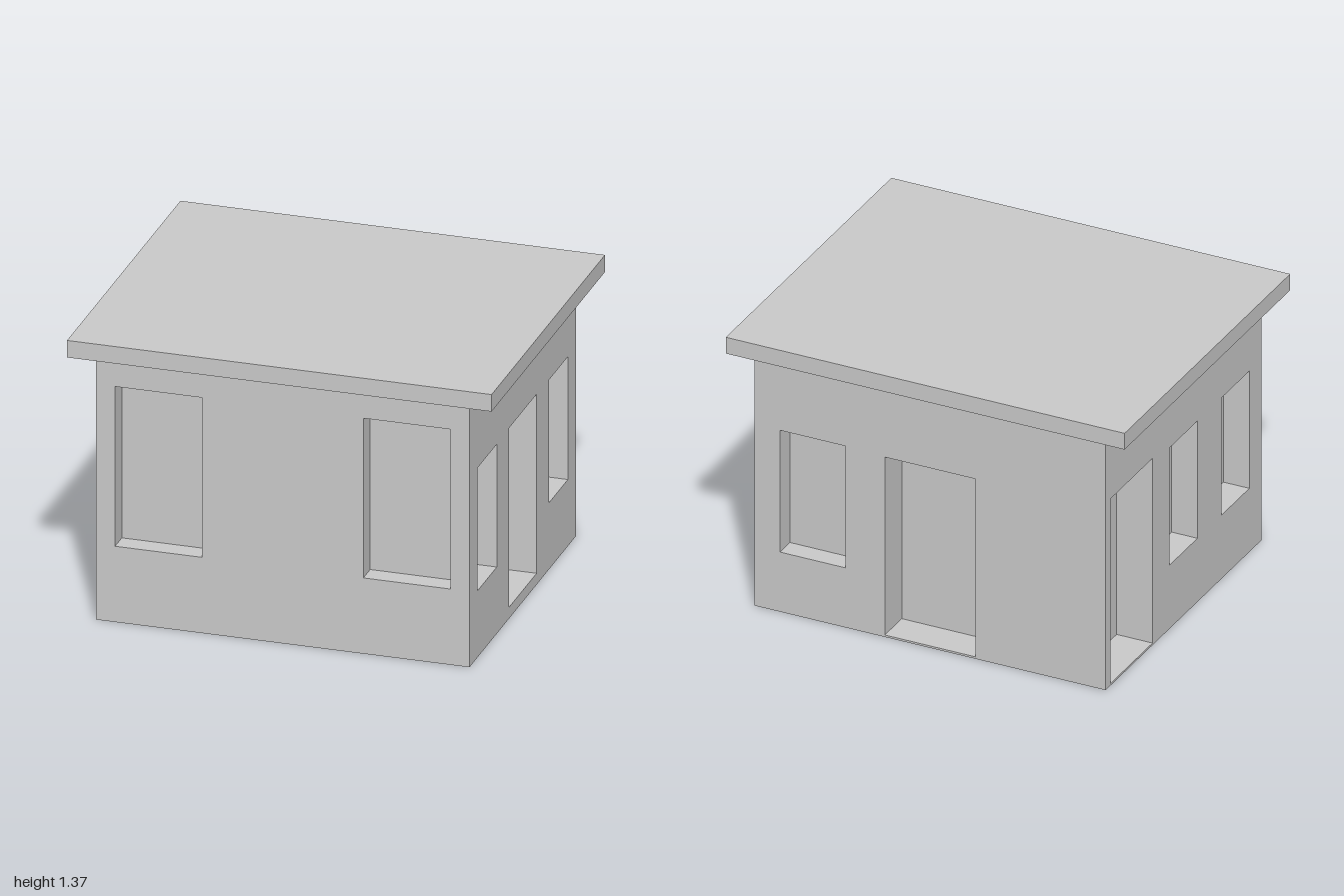
import * as THREE from 'three';

const WALL_H = 1.285, HALF_X = 0.88, HALF_Z = 0.78;

const material = new THREE.MeshStandardMaterial({ color: 0xcccccc, side: THREE.DoubleSide });

// Openings per wall: centre along the wall, width, bottom, top, depth
const WALLS = [
  { name: 'frontWall', turn: 0, half: HALF_X, out: HALF_Z, openings: [
    { name: 'window', u: -0.585, w: 0.41, y0: 0.37, y1: 1.15, d: 0.1 },
    { name: 'window', u: 0.585, w: 0.41, y0: 0.37, y1: 1.15, d: 0.1 },
  ] },
  { name: 'leftWall', turn: Math.PI / 2, half: HALF_Z, out: HALF_X, openings: [
    { name: 'window', u: -0.52, w: 0.28, y0: 0.325, y1: 0.925, d: 0.13 },
    { name: 'door', u: 0, w: 0.405, y0: 0.055, y1: 0.93, d: 0.14 },
    { name: 'window', u: 0.52, w: 0.28, y0: 0.325, y1: 0.925, d: 0.13 },
  ] },
  { name: 'backWall', turn: Math.PI, half: HALF_X, out: HALF_Z, openings: [
    { name: 'window', u: -0.589, w: 0.328, y0: 0.305, y1: 0.928, d: 0.1 },
    { name: 'door', u: 0, w: 0.455, y0: 0.01, y1: 0.92, d: 0.17 },
  ] },
  { name: 'rightWall', turn: -Math.PI / 2, half: HALF_Z, out: HALF_X, openings: [
    { name: 'door', u: -0.52, w: 0.42, y0: 0.01, y1: 0.955, d: 0.18 },
    { name: 'window', u: 0, w: 0.28, y0: 0.325, y1: 0.925, d: 0.13 },
    { name: 'window', u: 0.52, w: 0.28, y0: 0.325, y1: 0.925, d: 0.13 },
  ] },
];

function rectangle(path, x0, y0, x1, y1) {
  path.moveTo(x0, y0);
  path.lineTo(x1, y0);
  path.lineTo(x1, y1);
  path.lineTo(x0, y1);
  path.closePath();
  return path;
}

// Box without its front face, turned inside out: reveals, sill and back panel
function createRecess({ name, u, w, y0, y1, d }) {
  const geometry = new THREE.BoxGeometry(w, y1 - y0, d);
  geometry.setIndex(Array.from(geometry.index.array).filter((_, i) => i < 24 || i >= 30));
  geometry.clearGroups();
  geometry.scale(-1, 1, 1);
  geometry.computeVertexNormals();
  const mesh = new THREE.Mesh(geometry, material);
  mesh.name = name + 'Recess';
  mesh.position.set(u, (y0 + y1) / 2, -d / 2);
  return mesh;
}

function createWall({ name, turn, half, out, openings }) {
  const wall = new THREE.Group();
  wall.name = name;
  const shape = rectangle(new THREE.Shape(), -half, 0, half, WALL_H);
  for (const o of openings) {
    shape.holes.push(rectangle(new THREE.Path(), o.u - o.w / 2, o.y0, o.u + o.w / 2, o.y1));
    wall.add(createRecess(o));
  }
  const surface = new THREE.Mesh(new THREE.ShapeGeometry(shape), material);
  surface.name = name + 'Surface';
  wall.add(surface);
  wall.rotation.y = turn;
  wall.position.set(Math.sin(turn) * out, 0, Math.cos(turn) * out);
  return wall;
}

export function createModel() {
  const house = new THREE.Group();
  house.name = 'house';
  for (const spec of WALLS) house.add(createWall(spec));

  // Flat overhanging roof slab
  const roof = new THREE.Mesh(new THREE.BoxGeometry(2, 0.083, 1.66), material);
  roof.name = 'roof';
  roof.position.y = WALL_H + 0.0415;
  house.add(roof);
  return house;
}
